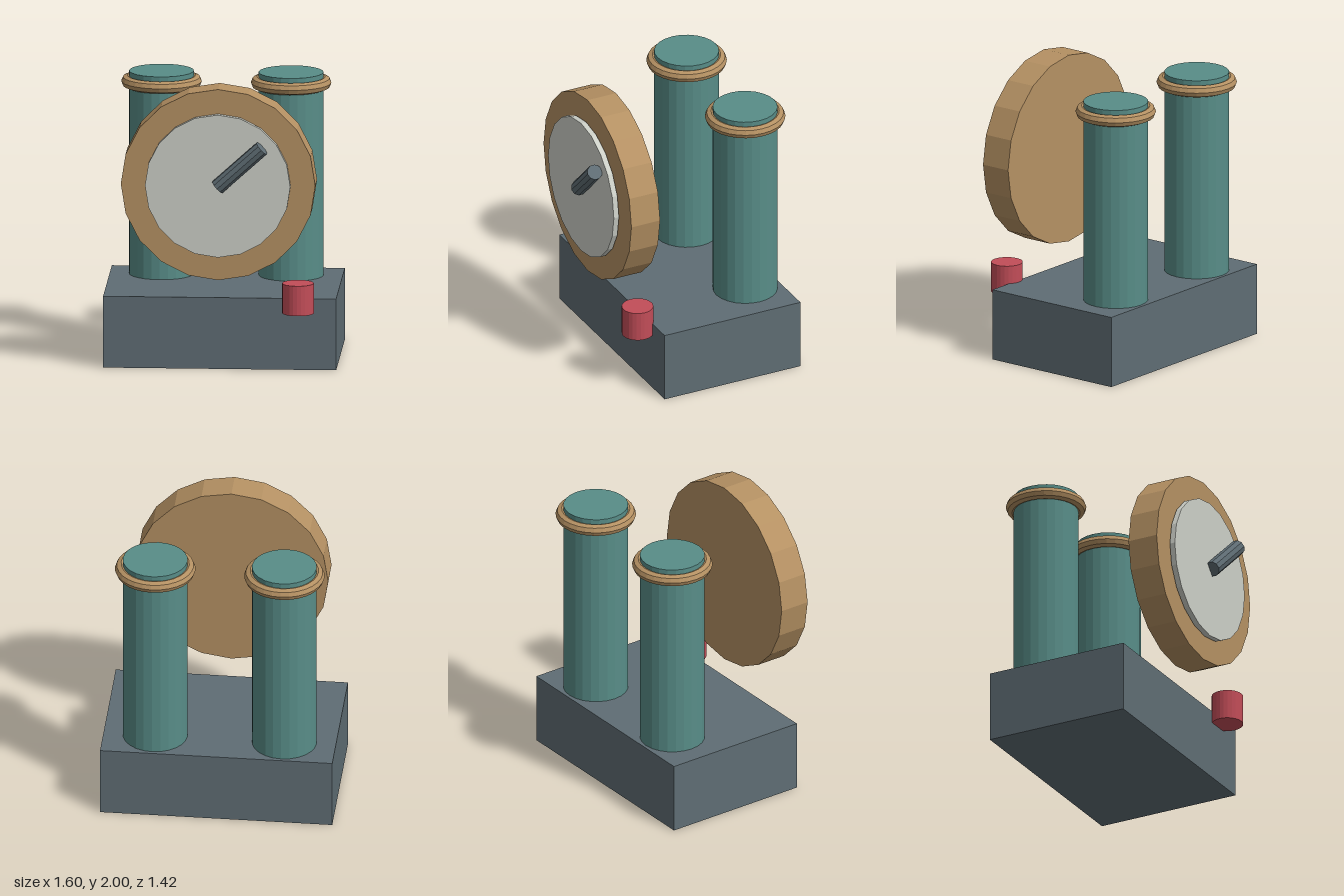
import * as THREE from 'three';

export function createModel() {
  const model = new THREE.Group();
  model.name = 'twinColumnDial';

  const material = (name, color) => {
    const m = new THREE.MeshStandardMaterial({ color, flatShading: true });
    m.name = name;
    return m;
  };
  const slate = material('slate grey', 0x5f6d74);
  const teal = material('teal', 0x588d88);
  const tan = material('tan', 0xb59163);
  const ivory = material('pale grey', 0xcdd0c8);
  const red = material('red', 0xc24d58);

  const add = (name, geometry, mat, x, y, z) => {
    const mesh = new THREE.Mesh(geometry, mat);
    mesh.name = name;
    mesh.position.set(x, y, z);
    model.add(mesh);
    return mesh;
  };

  // Block base
  add('base', new THREE.BoxGeometry(1.604, 0.5, 1.045), slate, 0, 0.25, -0.155);

  // Two columns at the back, each with a collar near the top
  for (const [side, s] of [['left', 1], ['right', -1]]) {
    add(side + 'Column', new THREE.CylinderGeometry(0.223, 0.223, 1.423, 24), teal, s * 0.446, 1.2115, -0.432);
    const collar = new THREE.TorusGeometry(0.235, 0.042, 8, 28).rotateX(Math.PI / 2);
    add(side + 'Collar', collar, tan, s * 0.446, 1.85, -0.432);
  }

  // Upright wheel with a dial plate just in front of it
  const disc = (radius, depth) => new THREE.CylinderGeometry(radius, radius, depth, 20).rotateX(Math.PI / 2);
  add('wheel', disc(0.669, 0.22), tan, 0, 1.331, 0.446);
  add('dialPlate', disc(0.5, 0.039), ivory, 0, 1.331, 0.5865);

  // Pointer running from the dial centre up to the left, tilted slightly forward
  const start = new THREE.Vector3(0, 1.329, 0.625);
  const end = new THREE.Vector3(0.307, 1.611, 0.655);
  const along = end.clone().sub(start);
  const mid = start.clone().add(end).multiplyScalar(0.5);
  const pointer = add('pointer', new THREE.CylinderGeometry(0.054, 0.054, along.length(), 10), slate, mid.x, mid.y, mid.z);
  pointer.quaternion.setFromUnitVectors(new THREE.Vector3(0, 1, 0), along.normalize());

  // Button on the front edge of the base
  add('button', new THREE.CylinderGeometry(0.109, 0.109, 0.21, 24), red, 0.544, 0.52, 0.446);

  return model;
}
